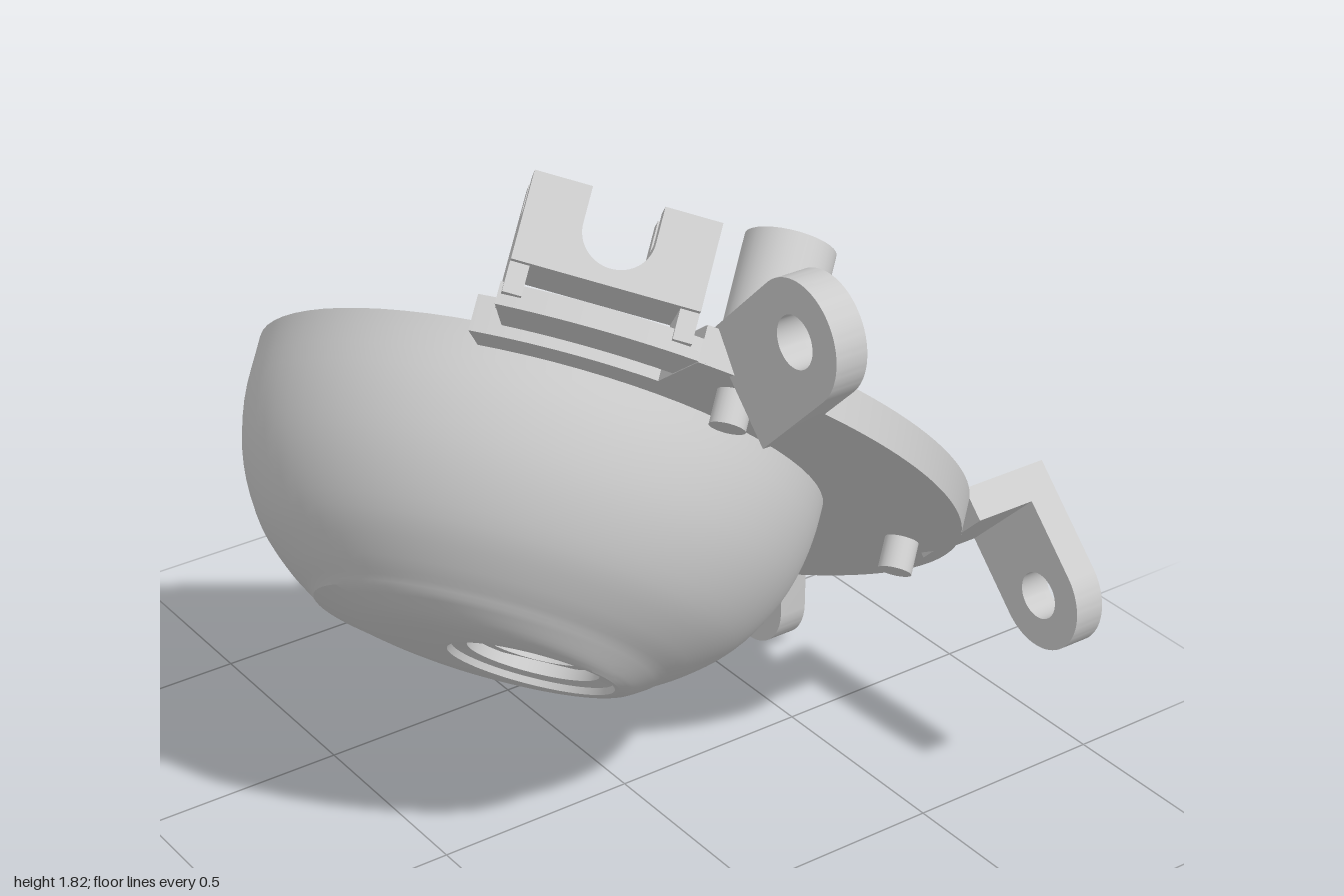
import * as THREE from 'three';
import { toCreasedNormals } from 'three/addons/utils/BufferGeometryUtils.js';
import { ConvexGeometry } from 'three/addons/geometries/ConvexGeometry.js';

const grey = new THREE.MeshStandardMaterial({ color: 0xcccccc });
const rad = THREE.MathUtils.degToRad;

function add(parent, name, geometry, x = 0, y = 0, z = 0) {
  const mesh = new THREE.Mesh(geometry, grey);
  mesh.name = name;
  mesh.position.set(x, y, z);
  parent.add(mesh);
  return mesh;
}

// Closed ring body: sections are [radius, height, shift], outer side upwards, inner side downwards
function ringBody(sections, seg, shiftX = 0, shiftZ = 0) {
  const pos = [], index = [], n = sections.length;
  for (const [r, h, c = 0] of sections) {
    for (let j = 0; j < seg; j++) {
      const a = (j / seg) * Math.PI * 2;
      pos.push(r * Math.cos(a) + c * shiftX, h, r * Math.sin(a) + c * shiftZ);
    }
  }
  for (let i = 0; i < n; i++) {
    for (let j = 0; j < seg; j++) {
      const i2 = (i + 1) % n, j2 = (j + 1) % seg;
      const a = i * seg + j, b = i * seg + j2, c = i2 * seg + j, d = i2 * seg + j2;
      index.push(a, c, b, b, c, d);
    }
  }
  const g = new THREE.BufferGeometry();
  g.setAttribute('position', new THREE.Float32BufferAttribute(pos, 3));
  g.setIndex(index);
  return toCreasedNormals(g, 0.45);
}

// Smooth run of sections through a few points
function smooth(points, count) {
  const curve = new THREE.CatmullRomCurve3(points.map(([r, h, c = 0]) => new THREE.Vector3(r, h, c)));
  return curve.getPoints(count).map((p) => [p.x, p.y, p.z]);
}

// Flat shape drawn in (x, z), from height top downwards
function slab(shape, top, depth) {
  const g = new THREE.ExtrudeGeometry(shape, { depth, bevelEnabled: false, curveSegments: 48 });
  g.rotateX(Math.PI / 2);
  g.translate(0, top, 0);
  return toCreasedNormals(g, 0.5);
}

function sector(r0, r1, a0, a1) {
  const s = new THREE.Shape();
  s.absarc(0, 0, r1, rad(a0), rad(a1), false);
  s.absarc(0, 0, r0, rad(a1), rad(a0), true);
  return s;
}

// Screw post with a blind hole
function post(ro, ri, bottom, top, floor) {
  return ringBody([[0.001, bottom], [ro, bottom], [ro, top], [ri, top], [ri, floor], [0.001, floor]], 32);
}

function makeBowl(parent) {
  const outer = smooth([[0.2, -0.605, 1], [0.3, -0.59, 0.4], [0.39, -0.557]], 8);
  const side = smooth([[0.4, -0.548], [0.46, -0.508], [0.545, -0.43], [0.617, -0.31], [0.652, -0.18], [0.657, -0.03]], 20);
  const inner = smooth([[0.583, -0.03], [0.583, -0.2], [0.55, -0.31], [0.48, -0.4], [0.39, -0.475], [0.3, -0.52, 0.4], [0.21, -0.54, 1]], 24);
  const lens = [[0.2, -0.52, 1], [0.165, -0.52, 1], [0.15, -0.54, 1], [0.15, -0.585, 1], [0.185, -0.59, 1], [0.19, -0.605, 1]];
  add(parent, 'bowl', ringBody([...outer, ...side, ...inner, ...lens], 72, 0.11, 0.07));

  // Square seat with a round opening behind the lens hole
  const seat = new THREE.Shape();
  const s = 0.125;
  seat.moveTo(-s, -s).lineTo(s, -s).lineTo(s, s).lineTo(-s, s).closePath();
  seat.holes.push(new THREE.Path().absarc(0, 0, 0.12, 0, Math.PI * 2, true));
  add(parent, 'lensSeat', slab(seat, -0.53, 0.03), 0.11, 0, 0.07).rotation.y = rad(168.5);

  // Inner screw posts and rim ribs
  add(parent, 'innerPost', post(0.073, 0.036, -0.56, -0.19, -0.4), -0.146, 0, 0.024);
  add(parent, 'innerPost', post(0.073, 0.036, -0.48, -0.19, -0.4), 0.405, 0, 0.034);
  for (const deg of [0, 131, -131]) {
    const rib = add(parent, 'rimRib', new THREE.BoxGeometry(0.08, 0.23, 0.045),
      0.57 * Math.cos(rad(deg)), -0.185, 0.57 * Math.sin(rad(deg)));
    rib.rotation.y = -rad(deg);
  }
}

function makePlate(parent) {
  // Crescent plate, stepped in at both ends to leave room for the clips
  const p = new THREE.Shape();
  p.absarc(0, 0, 0.97, rad(-78), rad(78), false);
  p.absarc(0, 0, 0.75, rad(78), rad(109), false);
  p.absarc(0, 0, 0.58, rad(109), rad(-109), true);
  p.absarc(0, 0, 0.75, rad(-109), rad(-78), false);
  add(parent, 'plate', slab(p, 0, 0.08));

  for (const deg of [-66.5, 66.5]) {
    add(parent, 'screwPost', post(0.097, 0.045, -0.04, 0.26, 0.08), 0.865 * Math.cos(rad(deg)), 0, 0.865 * Math.sin(rad(deg)));
  }
  for (const deg of [-69, 0, 69]) {
    add(parent, 'pin', new THREE.CylinderGeometry(0.039, 0.039, 0.12, 24),
      0.86 * Math.cos(rad(deg)), -0.095, 0.86 * Math.sin(rad(deg)));
  }
}

// Block profile with a round saddle, extruded along the radius
function saddle(top, depth) {
  const s = new THREE.Shape();
  s.moveTo(-0.195, 0.01).lineTo(0.195, 0.01).lineTo(0.195, top).lineTo(0.075, top).lineTo(0.075, 0.12);
  s.absarc(0, 0.12, 0.075, 0, Math.PI, true);
  s.lineTo(-0.075, top).lineTo(-0.195, top).closePath();
  const g = new THREE.ExtrudeGeometry(s, { depth, bevelEnabled: false, curveSegments: 16 });
  g.rotateY(Math.PI / 2);
  return toCreasedNormals(g, 0.5);
}

function makeClip(parent, side) {
  const [a0, a1] = side > 0 ? [75, 103] : [-103, -75];
  add(parent, 'clipStrip', slab(sector(0.83, 0.97, a0, a1), -0.03, 0.048));
  const clip = new THREE.Group();
  clip.name = 'clip';
  const a = rad(91 * side);
  clip.position.set(0.835 * Math.cos(a), 0, 0.835 * Math.sin(a));
  clip.rotation.y = -a;
  parent.add(clip);
  add(clip, 'innerJaw', saddle(0.2, 0.05));
  add(clip, 'saddle', saddle(0.13, 0.06), 0.045);
  add(clip, 'outerJaw', saddle(0.2, 0.05), 0.1);
  for (const z of [-0.175, 0.175]) add(clip, 'clipLeg', new THREE.BoxGeometry(0.13, 0.08, 0.04), 0.07, -0.015, z);
}

// Points [s, z] of a block profile, repeated on both edges of a tab
const bothEdges = (profile) => profile.flatMap(([s, z]) => [[-0.13, s, z], [0.13, s, z]]);

// Upright ear with a round end and hole, joined to the plate by a block
function makeTab(parent, x, y, z, angle, length, blockPoints) {
  const tab = new THREE.Group();
  tab.name = 'mountingTab';
  tab.position.set(x, y, 0);
  tab.rotation.z = rad(angle);
  parent.add(tab);
  const s = new THREE.Shape();
  s.moveTo(0.13, length).lineTo(-0.13, length).lineTo(-0.13, 0);
  s.absarc(0, 0, 0.13, Math.PI, Math.PI * 2, false);
  s.closePath();
  s.holes.push(new THREE.Path().absarc(0, 0, 0.056, 0, Math.PI * 2, true));
  const g = new THREE.ExtrudeGeometry(s, { depth: 0.075, bevelEnabled: false, curveSegments: 24 });
  add(tab, 'ear', toCreasedNormals(g, 0.5), 0, 0, z);
  add(tab, 'earBlock', new ConvexGeometry(blockPoints.map((p) => new THREE.Vector3(...p))));
}

export function createModel() {
  const model = new THREE.Group();
  model.name = 'tiltedBowlMount';

  // Tilted frame: local y is the plate normal, local x the symmetry axis
  const n = new THREE.Vector3(-0.405, 0.705, -0.58).normalize();
  const across = new THREE.Vector3(n.z, 0, -n.x).normalize();
  const down = new THREE.Vector3().crossVectors(across, n);
  const tilt = new THREE.Group();
  tilt.name = 'tiltedBody';
  tilt.quaternion.setFromRotationMatrix(new THREE.Matrix4().makeBasis(across, n, down));
  tilt.position.set(-0.165, 0.98, 0.1);
  model.add(tilt);
  const body = new THREE.Group();
  body.name = 'bowlAndPlate';
  body.rotation.y = -rad(156.5);
  tilt.add(body);

  makeBowl(body);
  makePlate(body);
  makeClip(body, 1);
  makeClip(body, -1);

  makeTab(model, 0.87, 1.6, 0.14, 135, 0.26,
    [...bothEdges([[0.26, 0.15]]), [0.13, 0.14, 0.15], [-0.13, 0.2, 0.15], [0.13, 0.26, 0.03], [0.13, 0.24, 0.03], [0.03, 0.26, 0.03]]);
  makeTab(model, 0.603, 0.57, -0.797, 45, 0.27,
    bothEdges([[0.19, -0.73], [0.27, -0.73], [0.27, -0.57], [0.19, -0.57]]));
  makeTab(model, -0.361, 0.133, -0.715, 0, 0.23,
    bothEdges([[0.11, -0.65], [0.23, -0.65], [0.23, -0.53], [0.11, -0.46]]));
  return model;
}
